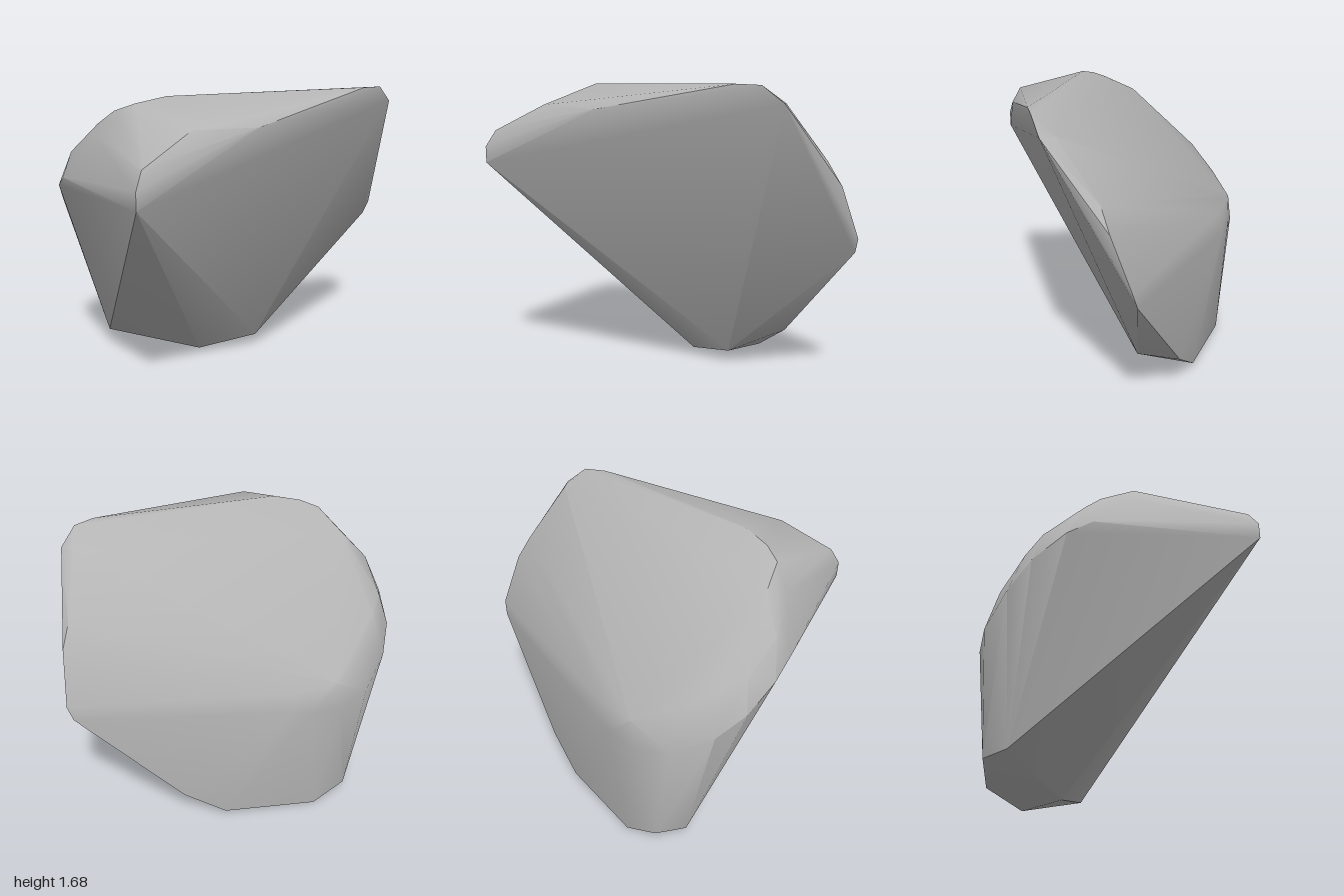
import * as THREE from 'three';
import { ConvexGeometry } from 'three/addons/geometries/ConvexGeometry.js';
import { toCreasedNormals } from 'three/addons/utils/BufferGeometryUtils.js';

// Corners around the broad, leaning front face
const frontFace = [
  [-1, 1.24, 0.68], [-1, 1.33, 0.68], [-0.3, 1.55, 0.665], [0.6, 1.68, 0.59],
  [0.71, 1.59, 0.56], [1, 0.87, 0.155], [0.98, 0.79, 0.13], [0.2, 0.08, 0],
];

// Bevels along the top edge and the right edge
const bevels = [
  [-0.95, 1.42, 0.65], [-0.65, 1.565, 0.61], [0.47, 1.685, 0.6],
  [0.69, 1.59, 0.48], [0.86, 1.29, 0.29], [0.93, 1.16, 0.255],
];

// Rounded rim of the sloping back, from the top round to the right
const upperRim = [
  [-0.55, 1.675, 0.22], [-0.69, 1.64, 0.14], [-0.77, 1.6, 0.06], [-0.85, 1.48, -0.02],
  [-0.77, 1.51, -0.13], [-0.88, 1.35, -0.25], [-0.8, 1.2, -0.45], [-0.68, 1.14, -0.52],
  [-0.5, 1.0, -0.62], [-0.25, 0.91, -0.66], [-0.02, 0.88, -0.54],
];

// Widest line just below that rim
const lowerRim = [
  [-0.95, 1.22, -0.22], [-0.92, 1.15, -0.35], [-0.83, 1.02, -0.51], [-0.7, 0.9, -0.61],
  [-0.48, 0.78, -0.69], [-0.27, 0.75, -0.685], [-0.1, 0.75, -0.62], [0, 0.77, -0.56],
];

// Small foot
const foot = [
  [-0.55, 0.11, -0.55], [-0.4, 0.1, -0.65], [-0.2, 0.01, -0.6],
  [-0.11, 0, -0.18], [0.28, 0.03, -0.33], [0.49, 0.19, -0.2],
];

export function createModel() {
  const group = new THREE.Group();
  group.name = 'rock';

  const grey = new THREE.MeshStandardMaterial({ color: 0xb4b4b4 });
  grey.name = 'stone grey';

  // One convex stone wrapped around the outlines, soft except at sharp ridges
  const points = [frontFace, bevels, upperRim, lowerRim, foot]
    .flat()
    .map((p) => new THREE.Vector3(...p));
  const geometry = toCreasedNormals(new ConvexGeometry(points), THREE.MathUtils.degToRad(38));

  const stone = new THREE.Mesh(geometry, grey);
  stone.name = 'stone';
  group.add(stone);
  return group;
}
